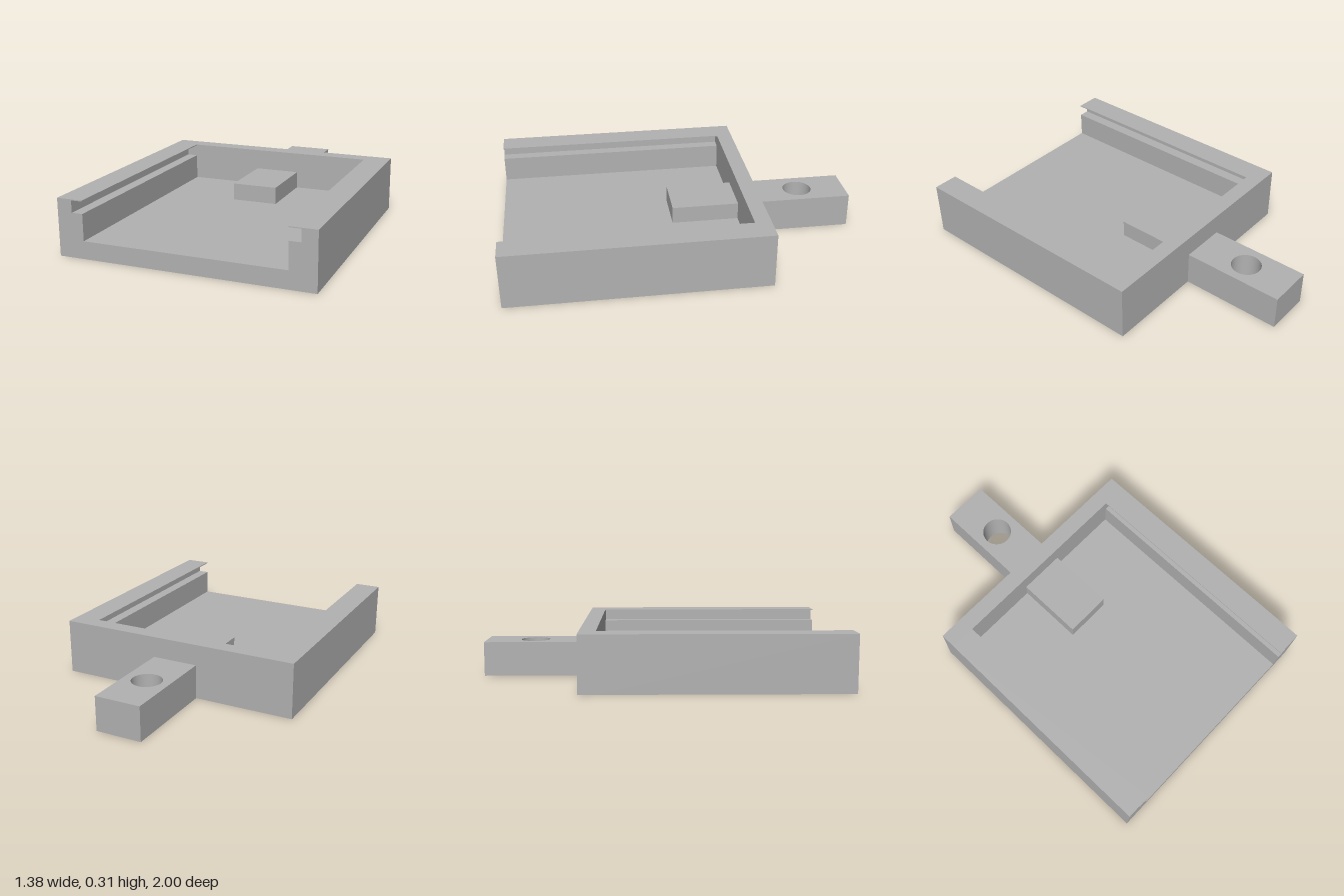
import * as THREE from 'three';

const HALF_W = 0.69, HEIGHT = 0.31, FLOOR = 0.096, TAB_H = 0.193;
const FRONT = 1, WALL_IN = -0.34, WALL_OUT = -0.43, TAB_END = -1;
const INNER = 0.547, GROOVE = 0.608, GROOVE_LOW = 0.24, GROOVE_TOP = 0.305;
const TAB_W = 0.13;

export function createModel() {
  const group = new THREE.Group();
  const grey = new THREE.MeshStandardMaterial({ color: 0xb2b2b2 });
  grey.name = 'plain grey';

  const add = (name, geometry) => {
    const mesh = new THREE.Mesh(geometry, grey);
    mesh.name = name;
    group.add(mesh);
    return mesh;
  };
  const block = (name, halfWidth, y0, y1, z0, z1) =>
    add(name, new THREE.BoxGeometry(halfWidth * 2, y1 - y0, z1 - z0))
      .position.set(0, (y0 + y1) / 2, (z0 + z1) / 2);

  // Tray: floor, side walls, slide grooves and thin lips as one section
  const half = [
    [HALF_W, 0], [HALF_W, HEIGHT], [INNER, HEIGHT], [INNER, GROOVE_TOP],
    [GROOVE, GROOVE_TOP], [GROOVE, GROOVE_LOW], [INNER, GROOVE_LOW], [INNER, FLOOR],
  ];
  const mirrored = half.map(([x, y]) => [-x, y]).reverse();
  const section = new THREE.Shape([...half, ...mirrored].map(([x, y]) => new THREE.Vector2(x, y)));
  const tray = new THREE.ExtrudeGeometry(section, { depth: FRONT - WALL_IN, bevelEnabled: false });
  tray.translate(0, 0, WALL_IN);
  add('grooved tray', tray);

  // Closed back end
  block('back wall', HALF_W, 0, HEIGHT, WALL_OUT, WALL_IN);

  // Raised block inside, in line with the tab
  block('inner block', TAB_W, FLOOR, TAB_H, WALL_IN, 0.04);

  // Rear tab with a round hole; shape y becomes -z once laid flat
  const plan = new THREE.Shape([
    new THREE.Vector2(-TAB_W, -WALL_OUT), new THREE.Vector2(TAB_W, -WALL_OUT),
    new THREE.Vector2(TAB_W, -TAB_END), new THREE.Vector2(-TAB_W, -TAB_END),
  ]);
  plan.holes.push(new THREE.Path().absarc(0, 0.72, 0.083, 0, Math.PI * 2, true));
  const tab = new THREE.ExtrudeGeometry(plan, { depth: TAB_H, bevelEnabled: false, curveSegments: 48 });
  tab.rotateX(-Math.PI / 2);
  add('rear tab', tab);

  return group;
}
